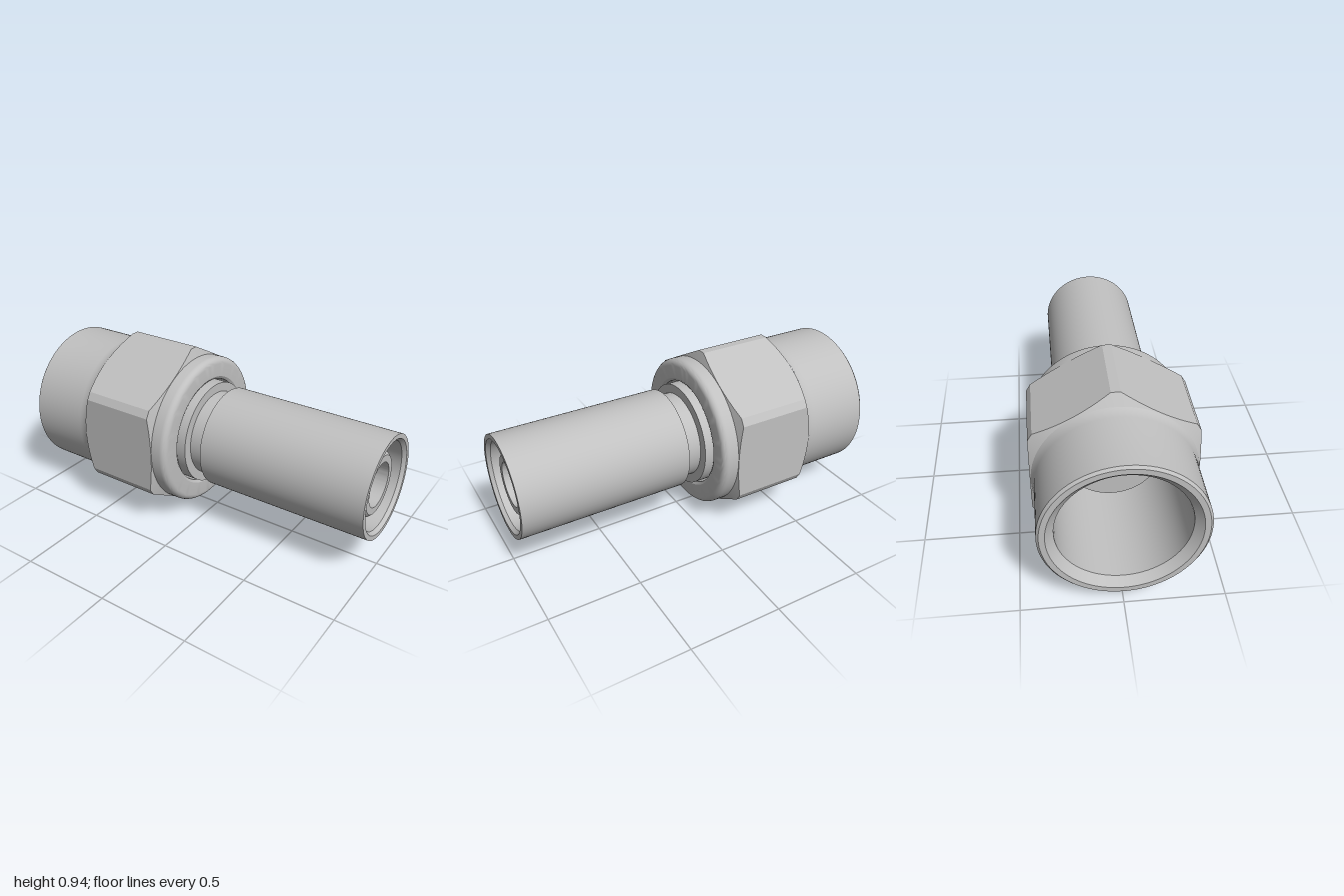
import * as THREE from 'three';
import { toCreasedNormals } from 'three/addons/utils/BufferGeometryUtils.js';

const AXIS_Y = 0.47;
const FLAT = 0.418;   // hexagon centre to flat
const CORNER = 0.47;  // hexagon centre to trimmed corner
const HOLE_X = -0.36, HOLE_R = 0.062;

// chamfer cones cutting the two ends of the hexagon
const leftEnd = r => -0.6 + (r - FLAT) * 0.67;
const rightEnd = r => -0.138 - (r - FLAT) * 0.33;

// revolve [x, radius] points around the x axis
function turned(profile) {
  const pts = profile.map(([x, r]) => new THREE.Vector2(r, x));
  const geo = new THREE.LatheGeometry(pts, 96);
  geo.rotateZ(-Math.PI / 2);
  return toCreasedNormals(geo, 0.42);
}

// angles across one flat, up to the trimmed corners
const STEPS = 14;
const half = Math.acos(FLAT / CORNER);
const flatAngles = Array.from({ length: STEPS + 1 }, (_, i) => -half + (2 * half * i) / STEPS);

// hexagon skin with chamfered ends; the flat with the hole is left out
function hexSkin(openFlat) {
  const pos = [], index = [];
  const cols = 6 * (STEPS + 1);
  for (let k = 0; k < 6; k++) {
    for (const phi of flatAngles) {
      const r = FLAT / Math.cos(phi);
      const a = Math.PI / 6 + (k * Math.PI) / 3 + phi;
      const rows = [[leftEnd(0.412), 0.412], [leftEnd(r), r], [rightEnd(r), r], [rightEnd(0.41), 0.41]];
      for (const [x, rad] of rows) pos.push(x, rad * Math.cos(a), rad * Math.sin(a));
    }
  }
  for (let c = 0; c < cols; c++) {
    const k = Math.floor(c / (STEPS + 1)), j = c % (STEPS + 1);
    for (let row = 0; row < 3; row++) {
      if (row === 1 && k === openFlat && j < STEPS) continue;
      const a = c * 4 + row, b = ((c + 1) % cols) * 4 + row;
      index.push(a, b, a + 1, b, b + 1, a + 1);
    }
  }
  const geo = new THREE.BufferGeometry();
  geo.setAttribute('position', new THREE.Float32BufferAttribute(pos, 3));
  geo.setIndex(index);
  return toCreasedNormals(geo, 0.25);
}

// one flat with a round hole
function drilledFlat() {
  const edge = f => flatAngles.map(p => new THREE.Vector2(f(FLAT / Math.cos(p)), FLAT * Math.tan(p)));
  const shape = new THREE.Shape([...edge(rightEnd), ...edge(leftEnd).reverse()]);
  const hole = new THREE.Path();
  hole.absarc(HOLE_X, 0, HOLE_R, 0, Math.PI * 2, true);
  shape.holes.push(hole);
  return new THREE.ShapeGeometry(shape, 24).translate(0, 0, FLAT);
}

export function createModel() {
  const steel = new THREE.MeshStandardMaterial({ color: 0xc0c0c0 });
  steel.name = 'steel grey';

  const model = new THREE.Group();
  model.name = 'hoseFitting';
  const body = new THREE.Group();
  body.name = 'fittingBody';
  body.position.y = AXIS_Y;
  model.add(body);

  const add = (name, geo) => {
    const mesh = new THREE.Mesh(geo, steel);
    mesh.name = name;
    body.add(mesh);
    return mesh;
  };

  // nut: rounded collar, bore and plain cylinder
  const collarRound = Array.from({ length: 7 }, (_, i) => {
    const a = (i / 6) * Math.PI / 2;
    return [-0.085 + 0.035 * Math.sin(a), 0.381 + 0.035 * Math.cos(a)];
  });
  // the profile runs inwards through the bore and back along the outside
  const nutProfile = [
    [-0.15, 0.416], ...collarRound, [-0.05, 0.31], [-0.06, 0.295], [-0.2, 0.295],
    [-0.22, 0.32], [-0.96, 0.32], [-1, 0.36], [-1, 0.388], [-0.988, 0.4],
    [-0.66, 0.4], [-0.637, 0.403], [-0.618, 0.408], [-0.604, 0.414],
  ];
  add('nutSleeve', turned(nutProfile));

  // nut: hexagon with a drilled flat at the lower back
  add('nutHexagon', hexSkin(3));
  const tilt = (Math.PI * 2) / 3;
  add('drilledFlat', drilledFlat().rotateX(tilt));
  const wall = new THREE.LatheGeometry(
    [new THREE.Vector2(HOLE_R, FLAT), new THREE.Vector2(HOLE_R, 0.31)], 32);
  add('holeWall', wall.rotateX(Math.PI / 2).translate(HOLE_X, 0, 0).rotateX(tilt));

  // stem: sealing cone, flange, neck and inner nipple
  add('stem', turned([
    [-0.48, 0.118], [-0.48, 0.24], [-0.3, 0.285], [-0.015, 0.285], [-0.015, 0.235],
    [0.16, 0.235], [0.16, 0.17], [0.945, 0.17], [0.96, 0.155], [0.96, 0.118], [-0.48, 0.118],
  ]));

  // crimp sleeve around the nipple
  add('crimpSleeve', turned([
    [0.075, 0.235], [0.075, 0.275], [1, 0.275], [1, 0.25], [0.98, 0.235], [0.075, 0.235],
  ]));

  return model;
}
